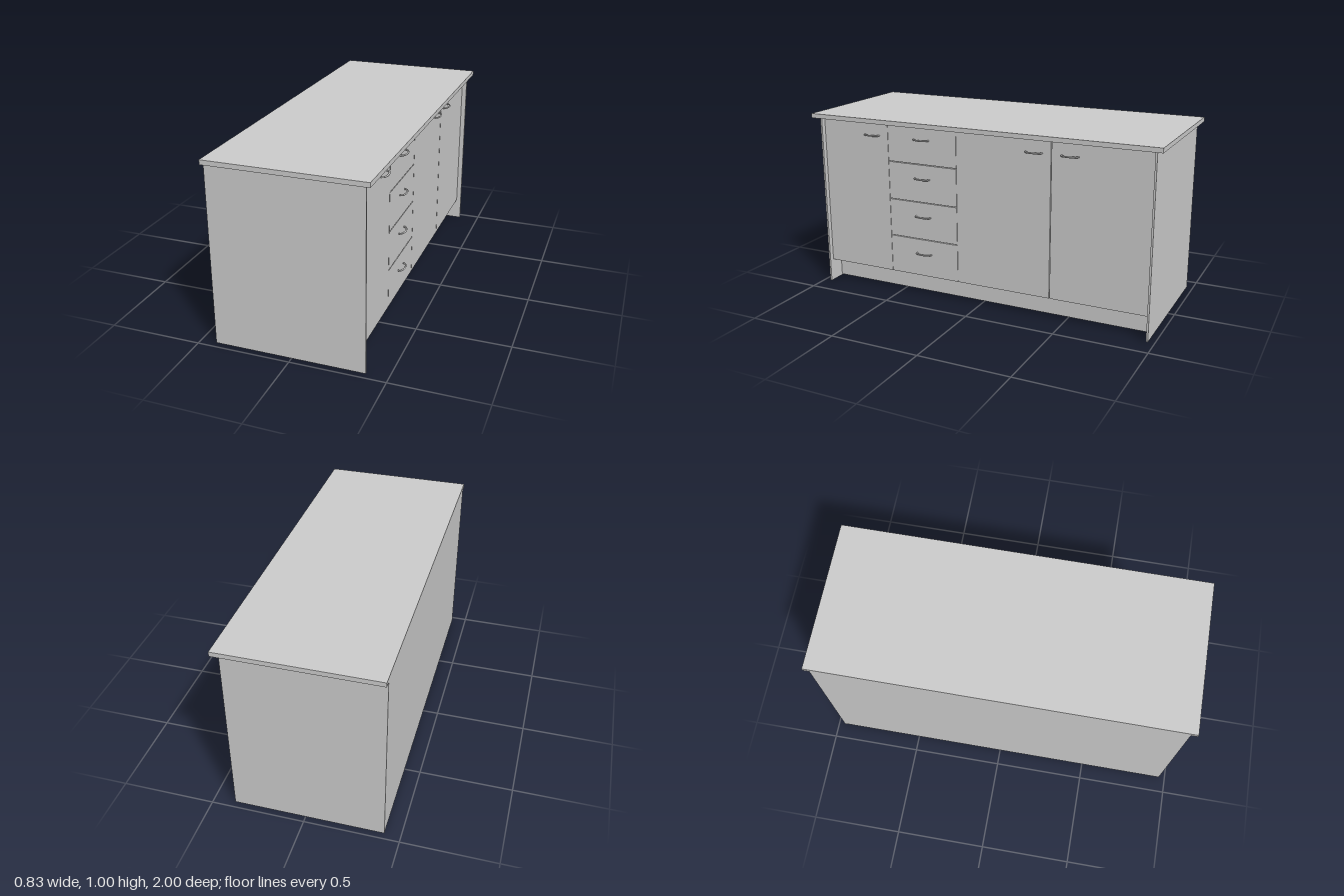
import * as THREE from 'three';

const material = new THREE.MeshStandardMaterial({ color: 0xcccccc });

export function createModel() {
  const model = new THREE.Group();
  model.name = 'baseCabinet';

  // Box given by its minimum and maximum on each axis
  function slab(name, [x0, x1], [y0, y1], [z0, z1]) {
    const mesh = new THREE.Mesh(new THREE.BoxGeometry(x1 - x0, y1 - y0, z1 - z0), material);
    mesh.position.set((x0 + x1) / 2, (y0 + y1) / 2, (z0 + z1) / 2);
    mesh.name = name;
    model.add(mesh);
  }

  const back = -0.415, face = 0.358, inner = 0.955, outer = 0.965;
  const bottom = 0.125, top = 0.975;

  // Worktop, end panels, carcass and recessed plinth
  slab('worktop', [back, 0.415], [top, 1], [-1, 1]);
  for (const s of [-1, 1]) {
    const z = [s * inner, s * outer].sort((a, b) => a - b);
    slab('endPanel', [back, 0.385], [0, top], z);
  }
  slab('carcass', [back, face - 0.018], [bottom, top], [-inner, inner]);
  slab('plinth', [back, 0.282], [0.005, bottom], [-inner, inner]);

  // Doors, with narrow gaps between them
  const gap = 0.002;
  const front = [face - 0.018, face];
  slab('leftDoor', front, [bottom, top], [0.541, inner]);
  slab('middleDoor', front, [bottom, top], [-0.42 + gap, 0.119]);
  slab('rightDoor', front, [bottom, top], [-inner, -0.42 - gap]);

  // Stack of four drawer fronts
  const levels = [bottom, 0.338, 0.551, 0.764, top];
  for (let i = 0; i < 4; i++) {
    slab('drawerFront', front,
      [levels[i] + (i ? gap : 0), levels[i + 1] - (i < 3 ? gap : 0)], [0.121, 0.539]);
  }

  // Bowed pull handles
  const bow = new THREE.CatmullRomCurve3([
    [-0.002, -0.045], [0.013, -0.041], [0.022, -0.022], [0.025, 0],
    [0.022, 0.022], [0.013, 0.041], [-0.002, 0.045],
  ].map(([x, z]) => new THREE.Vector3(x, 0, z)));
  const handleGeometry = new THREE.TubeGeometry(bow, 24, 0.0045, 8);
  const handles = [
    [0.9, 0.64], [0.9, -0.325], [0.9, -0.52],
    [0.9, 0.33], [0.685, 0.33], [0.47, 0.33], [0.255, 0.33],
  ];
  for (const [y, z] of handles) {
    const handle = new THREE.Mesh(handleGeometry, material);
    handle.position.set(face, y, z);
    handle.name = 'handle';
    model.add(handle);
  }

  return model;
}
